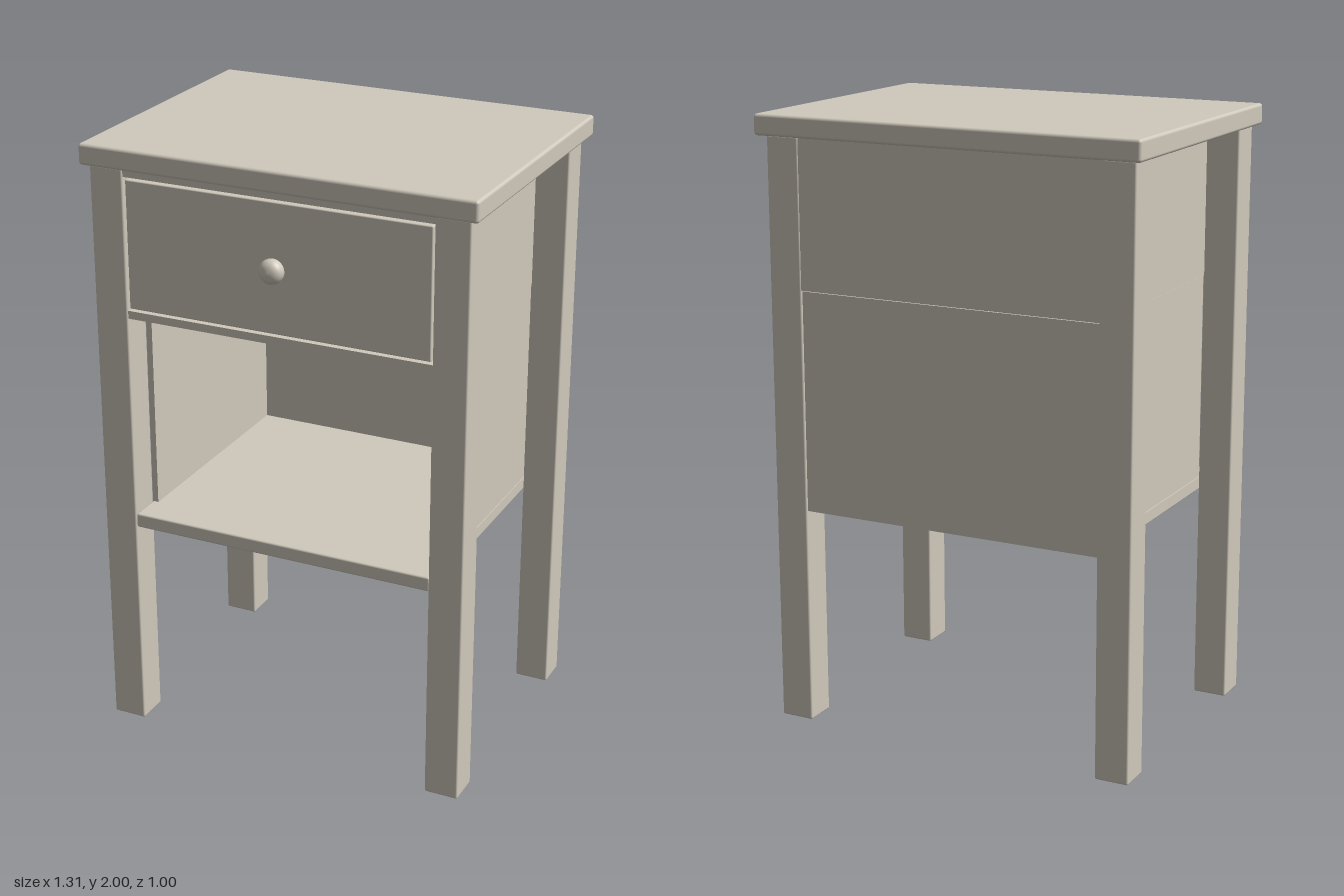
import * as THREE from 'three';
import { RoundedBoxGeometry } from 'three/addons/geometries/RoundedBoxGeometry.js';

export function createModel() {
  const model = new THREE.Group();
  model.name = 'nightstand';
  const paint = new THREE.MeshStandardMaterial({ color: 0xd0c9bc });
  paint.name = 'warm grey paint';

  // Box given by its extents, with softened edges when r > 0
  function box(name, x0, x1, y0, y1, z0, z1, r = 0) {
    const size = [x1 - x0, y1 - y0, z1 - z0];
    const geo = r ? new RoundedBoxGeometry(...size, 2, r) : new THREE.BoxGeometry(...size);
    const mesh = new THREE.Mesh(geo, paint);
    mesh.name = name;
    mesh.position.set((x0 + x1) / 2, (y0 + y1) / 2, (z0 + z1) / 2);
    model.add(mesh);
  }

  // Top
  box('tableTop', -0.655, 0.655, 1.932, 2, -0.5, 0.47, 0.01);

  // Legs and side panels, mirrored left and right
  for (const [side, s] of [['left', 1], ['right', -1]]) {
    const mirrored = (name, a, b, ...rest) =>
      box(side + name, Math.min(s * a, s * b), Math.max(s * a, s * b), ...rest);
    mirrored('FrontLeg', 0.515, 0.628, 0, 1.932, 0.338, 0.45, 0.006);
    mirrored('BackLeg', 0.515, 0.628, 0, 1.932, -0.468, -0.358, 0.006);
    mirrored('Apron', 0.495, 0.518, 1.448, 1.932, -0.362, 0.342);
    mirrored('SidePanel', 0.495, 0.515, 0.765, 1.445, -0.455, 0.34);
  }

  // Back
  box('backApron', -0.516, 0.516, 1.448, 1.932, -0.465, -0.445);
  box('backPanel', -0.516, 0.516, 0.722, 1.445, -0.46, -0.44);

  // Shelf, and the divider beneath the drawer
  box('shelf', -0.516, 0.516, 0.72, 0.768, -0.455, 0.445, 0.006);
  box('drawerDivider', -0.516, 0.516, 1.446, 1.472, -0.44, 0.445);
  box('topRail', -0.516, 0.516, 1.906, 1.932, 0.4, 0.445);

  // Drawer front with a narrow gap all round
  box('drawerFront', -0.508, 0.508, 1.48, 1.898, 0.415, 0.445, 0.004);

  // Round knob on a short stem
  const profile = [[0, -0.026], [0.018, -0.026], [0.018, -0.02], [0.03, -0.018], [0.038, -0.006],
    [0.04, 0.006], [0.037, 0.018], [0.029, 0.028], [0.016, 0.034], [0, 0.036]]
    .map(([r, h]) => new THREE.Vector2(r, h));
  const knob = new THREE.Mesh(new THREE.LatheGeometry(profile, 32), paint);
  knob.name = 'drawerKnob';
  knob.rotation.x = Math.PI / 2;
  knob.position.set(0, 1.69, 0.464);
  model.add(knob);

  return model;
}
